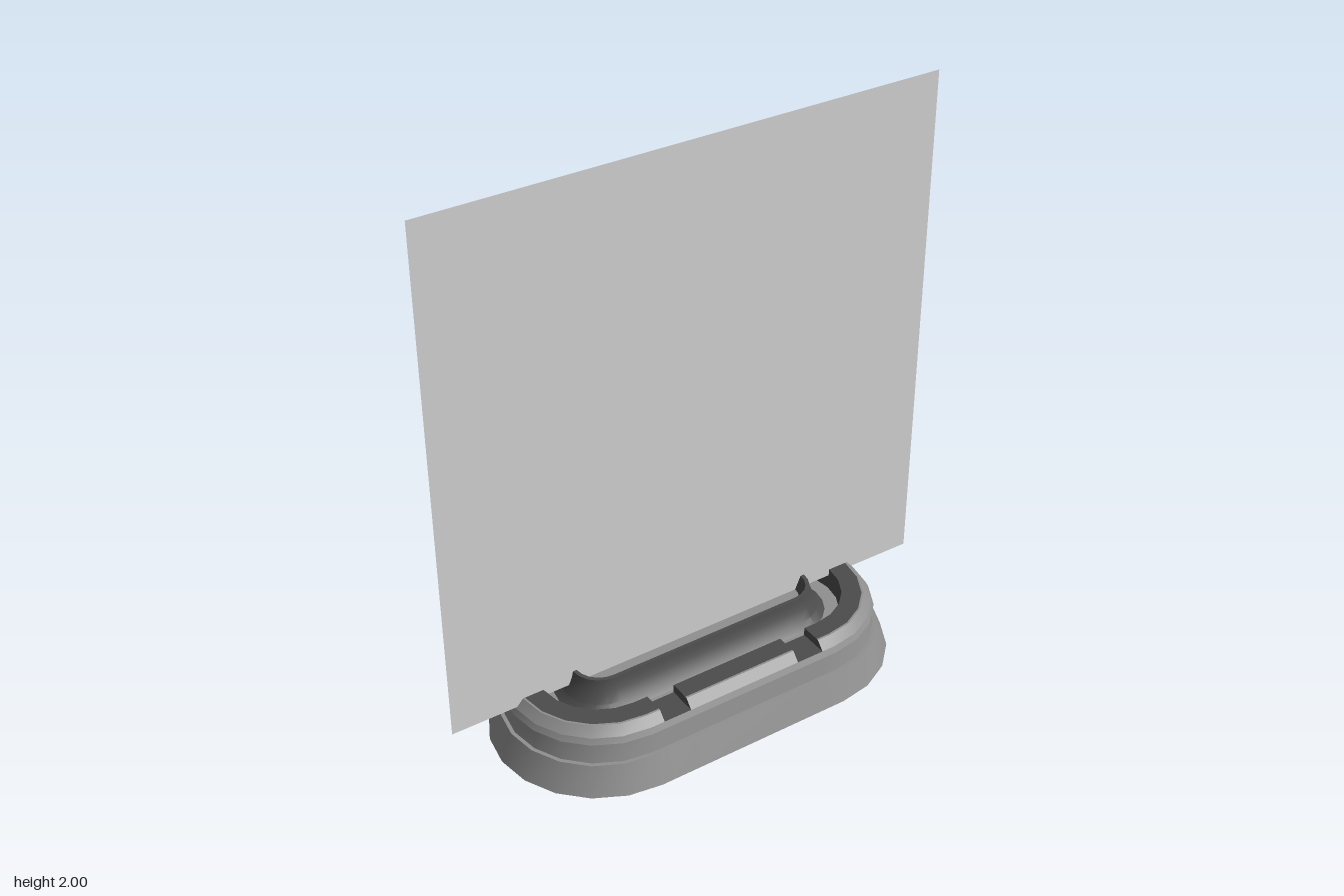
import * as THREE from 'three';
import { toCreasedNormals } from 'three/addons/utils/BufferGeometryUtils.js';

const HALF = 0.36; // half length of the straight sides
const ARC_STEPS = 10; // segments in each rounded end
const NOTCHES = [0.31, 0.21, -0.21, -0.31];
const NOTCH_Y = 0.195;

function material(name, color) {
  const m = new THREE.MeshStandardMaterial({ color, side: THREE.DoubleSide });
  m.name = name;
  return m;
}

// Stadium path: each point has a centre x, an outward normal and a notch flag.
function stadiumPath() {
  const path = [];
  for (const side of [1, -1]) {
    for (let i = 0; i <= ARC_STEPS; i++) {
      const a = -Math.PI / 2 + (Math.PI * i) / ARC_STEPS;
      path.push({ cx: side * HALF, nx: side * Math.cos(a), nz: side * Math.sin(a), cut: false });
    }
    // Doubled points give each notch upright ends
    NOTCHES.forEach((x, i) => {
      const opens = i % 2 === 0;
      for (const cut of [!opens, opens]) path.push({ cx: side * x, nx: 0, nz: side, cut });
    });
  }
  return path;
}

// Sweeps a profile of [radius, height] points around the stadium.
// part: 'plain' ignores the notches, 'rim' leaves them open, 'notch' keeps only them.
function sweep(profile, part = 'plain') {
  const path = stadiumPath();
  const n = profile.length;
  const positions = [];
  const index = [];
  path.forEach((p, i) => {
    for (const [r, y] of profile) {
      positions.push(p.cx + p.nx * r, part !== 'plain' && p.cut ? Math.min(y, NOTCH_Y) : y, p.nz * r);
    }
    const next = (i + 1) % path.length;
    const inNotch = p.cut || path[next].cut;
    if (part !== 'plain' && inNotch !== (part === 'notch')) return;
    for (let j = 0; j < n - 1; j++) {
      const a = i * n + j;
      const b = next * n + j;
      index.push(a, a + 1, b, b, a + 1, b + 1);
    }
  });
  const g = new THREE.BufferGeometry();
  g.setAttribute('position', new THREE.Float32BufferAttribute(positions, 3));
  g.setIndex(index);
  return toCreasedNormals(g, 0.45);
}

export function createModel() {
  const group = new THREE.Group();
  const grey = material('mid grey', 0x909090);
  const dark = material('dark grey', 0x4c4c4c);
  const pale = material('panel light grey', 0xd4d4d4);

  const add = (name, geometry, mat) => {
    const mesh = new THREE.Mesh(geometry, mat);
    mesh.name = name;
    group.add(mesh);
    return mesh;
  };

  // Hollow stepped outer wall
  add('baseWall', sweep([
    [0.375, 0], [0.335, 0.1], [0.322, 0.1], [0.308, 0.165], [0.322, 0.175], [0.312, 0.195],
  ]), grey);

  // Bevelled lip, flat rim with the groove wall, and the four dark notches
  add('rimBevel', sweep([[0.312, 0.195], [0.285, 0.225], [0.278, 0.225]], 'rim'), grey);
  add('rimTop', sweep([[0.278, 0.225], [0.21, 0.225], [0.205, 0.15]], 'rim'), dark);
  add('rimNotches', sweep([[0.312, 0.195], [0.285, 0.225], [0.21, 0.225], [0.205, 0.15]], 'notch'), dark);
  add('grooveFloor', sweep([[0.205, 0.15], [0.155, 0.15]]), grey);

  // Raised ring around the slot
  add('slotRing', sweep([
    [0.155, 0.15], [0.13, 0.172], [0.112, 0.21], [0.104, 0.23], [0.1, 0.25], [0.086, 0.25], [0.065, 0.2],
  ]), dark);
  add('slotFloor', sweep([[0.065, 0.2], [0, 0.2]]), grey);

  // Thin upright panel
  add('panel', new THREE.PlaneGeometry(1.8, 1.8), pale).position.y = 1.1;

  return group;
}
